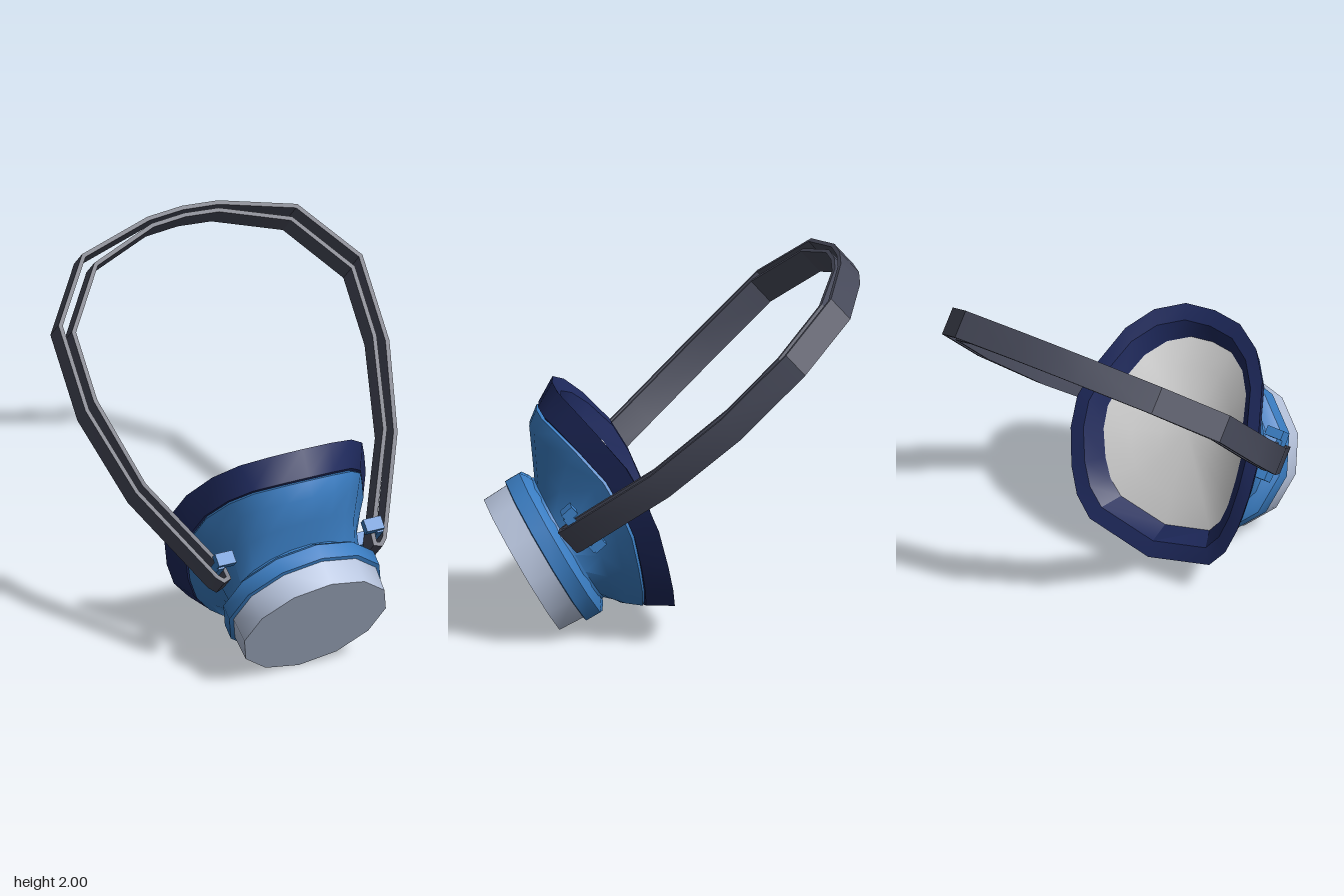
import * as THREE from 'three';
import { toCreasedNormals } from 'three/addons/utils/BufferGeometryUtils.js';

const material = (name, color) => {
  const m = new THREE.MeshStandardMaterial({ color });
  m.name = name;
  return m;
};

// Half outline of the face seal from forehead side to chin: x, y, z
const HALF = [
  [0, 1.464, -0.117], [0.17, 1.445, -0.125], [0.32, 1.36, -0.16], [0.43, 1.22, -0.2],
  [0.51, 1.0, -0.245], [0.565, 0.8, -0.245], [0.56, 0.63, -0.225], [0.52, 0.43, -0.17],
  [0.465, 0.29, -0.125], [0.375, 0.19, -0.085], [0, 0.106, -0.05],
];
const OUTLINE = [...HALF, ...HALF.slice(1, -1).reverse().map(([x, y, z]) => [-x, y, z])];
const MID_Y = 0.79;
const HUB_Y = 0.695;

// Copy of the seal outline, scaled about its middle and moved forward
const sealRing = (scale, forward) =>
  OUTLINE.map(([x, y, z]) => [x * scale, MID_Y + (y - MID_Y) * scale, z + forward]);

// Circle around the filter axis with the same number of points
const hubRing = (radius, z) => OUTLINE.map((_, i) => {
  const a = (i / OUTLINE.length) * Math.PI * 2;
  return [Math.sin(a) * radius, HUB_Y + Math.cos(a) * radius, z];
});

// Halfway ring, pinched at the sides
const pinchedRing = (a, b, pinch) => a.map(([x, y, z], i) =>
  [(x + b[i][0]) / 2 * pinch, (y + b[i][1]) / 2, (z + b[i][2]) / 2]);

// Skin over a list of rings
function loft(rings, crease) {
  const pos = [];
  for (let r = 0; r < rings.length - 1; r++) {
    const a = rings[r], b = rings[r + 1];
    for (let i = 0; i < a.length; i++) {
      const j = (i + 1) % a.length;
      pos.push(...a[i], ...b[i], ...a[j], ...a[j], ...b[i], ...b[j]);
    }
  }
  const g = new THREE.BufferGeometry();
  g.setAttribute('position', new THREE.Float32BufferAttribute(pos, 3));
  return toCreasedNormals(g, crease);
}

// Twelve-sided turned part along the filter axis: [radius, z] points
function turned(profile) {
  const g = new THREE.LatheGeometry(profile.map(([r, z]) => new THREE.Vector2(r, z)), 12);
  g.rotateX(Math.PI / 2).translate(0, HUB_Y, 0);
  return toCreasedNormals(g, 0.6);
}

// Closed polyline moved sideways by a distance
function offsetLoop(points, d) {
  const n = points.length;
  return points.map((p, i) => {
    const u = p.clone().sub(points[(i + n - 1) % n]).normalize();
    const v = points[(i + 1) % n].clone().sub(p).normalize();
    const normal = new THREE.Vector2(-u.y - v.y, u.x + v.x).normalize();
    const stretch = Math.max(0.6, normal.dot(new THREE.Vector2(-u.y, u.x)));
    return p.clone().addScaledVector(normal, d / stretch);
  });
}

export function createModel() {
  const blue = material('mask blue', 0x3a7dc2);
  const navy = material('seal navy', 0x1e295c);
  const silver = material('filter silver', 0xb8c5de);
  const charcoal = material('strap charcoal', 0x484b5b);
  const pale = material('lining grey', 0xd6d6d6);

  const model = new THREE.Group();
  model.name = 'respiratorMask';
  const add = (parent, name, geometry, mat) => {
    const mesh = new THREE.Mesh(geometry, mat);
    mesh.name = name;
    parent.add(mesh);
    return mesh;
  };

  // Mask, tilted so that the filter points forward and down
  const mask = new THREE.Group();
  mask.name = 'mask';
  mask.rotation.x = Math.PI / 6;
  model.add(mask);

  add(mask, 'faceSeal', loft([
    sealRing(0.74, 0.08), sealRing(0.87, 0), sealRing(1, 0), sealRing(0.885, 0.13), sealRing(0.83, 0.13),
  ], 0.45), navy);

  // Shell narrows from the seal to the round neck
  const shoulder = sealRing(0.79, 0.22);
  const neck = hubRing(0.36, 0.225);
  add(mask, 'shell', loft([
    sealRing(0.84, 0.12), sealRing(0.875, 0.145), shoulder,
    pinchedRing(shoulder, neck, 0.95), neck, hubRing(0.38, 0.28),
  ], 0.6), blue);

  // Inside lining, a shallow bowl that curves up to the seal
  const edge = sealRing(0.74, 0.08);
  const bowl = [0, 0.35, 0.7, 1].map((t) =>
    edge.map(([x, y, z]) => [x * t, MID_Y + (y - MID_Y) * t, z * t * t - 0.02 * (1 - t)]));
  add(mask, 'lining', loft(bowl, 1), pale);

  add(mask, 'collar', turned([
    [0.34, 0.225], [0.4, 0.25], [0.434, 0.275], [0.434, 0.36], [0.39, 0.37],
  ]), blue);
  add(mask, 'filter', turned([[0.412, 0.355], [0.405, 0.505], [0, 0.505]]), silver);

  // Head strap in its own plane: x across, y along the strap, z across its width
  const harness = new THREE.Group();
  harness.name = 'harness';
  harness.position.set(0, 0.6, 0.565);
  harness.rotation.x = -0.838;
  model.add(harness);

  const outer = [[0.48, 0.01], [0.74, 0.56], [0.86, 1.05], [0.86, 1.52], [0.61, 1.86], [0.2, 1.975]];
  const inner = [[0.19, 1.935], [0.56, 1.8], [0.8, 1.47], [0.8, 1.09], [0.69, 0.59], [0.425, 0.04]];
  const mirror = (pts) => pts.map(([x, y]) => [-x, y]).reverse();
  const path = [
    [0.45, -0.02], ...outer, [0, 1.99], ...mirror(outer), [-0.45, -0.02], [-0.42, -0.01],
    ...mirror(inner), [0, 1.95], ...inner, [0.42, -0.01],
  ].map(([x, y]) => new THREE.Vector2(x, y));
  // Doubled band: both layers are one closed loop of webbing
  const strap = new THREE.Shape(offsetLoop(path, -0.011));
  strap.holes.push(new THREE.Path(offsetLoop(path, 0.011)));
  const band = new THREE.ExtrudeGeometry(strap, { depth: 0.15, bevelEnabled: false });
  band.translate(0, 0, -0.075);
  // Slight sag between the buckles and the back of the head
  const p = band.attributes.position;
  for (let i = 0; i < p.count; i++) {
    const t = THREE.MathUtils.clamp(p.getY(i) / 1.5, 0, 1);
    p.setZ(i, p.getZ(i) - 0.032 * Math.sin(Math.PI * t));
  }
  add(harness, 'headStrap', toCreasedNormals(band, 0.5), charcoal);

  // Buckles that hold the strap ends to the shell
  for (const [side, label] of [[1, 'left'], [-1, 'right']]) {
    const buckle = new THREE.Group();
    buckle.name = label + 'Buckle';
    harness.add(buckle);
    add(buckle, 'bar', new THREE.BoxGeometry(0.035, 0.05, 0.24), blue).position.set(side * 0.455, 0.06, -0.01);
    for (const z of [0.11, -0.115]) {
      add(buckle, 'lug', new THREE.BoxGeometry(0.1, 0.07, 0.05), blue).position.set(side * 0.425, 0.08, z);
    }
  }
  return model;
}
